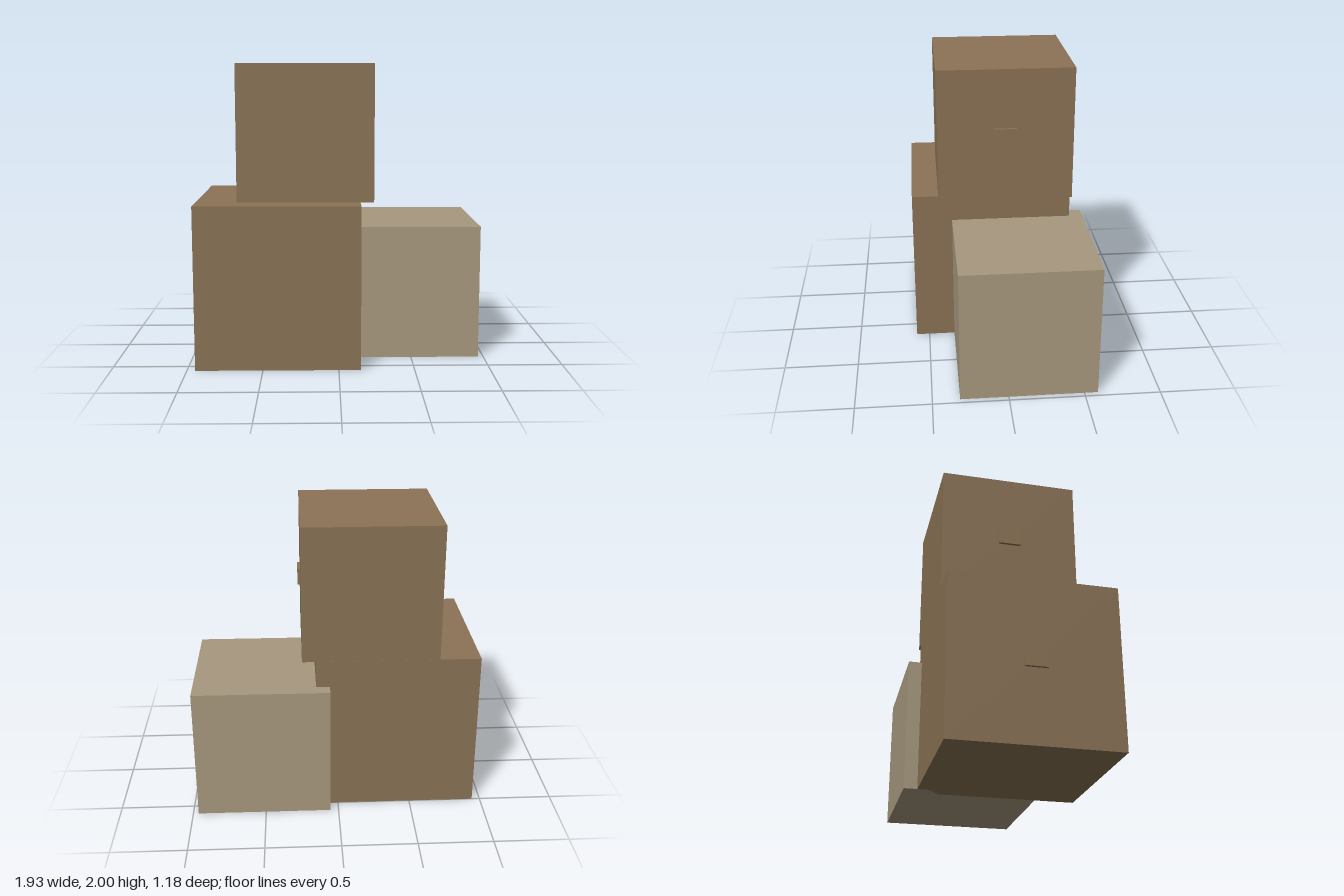
import * as THREE from 'three';

export function createModel() {
  const model = new THREE.Group();
  model.name = 'stackedBoxes';

  const brown = new THREE.MeshStandardMaterial({ color: 0x8b7355 });
  brown.name = 'brown cardboard';
  const tan = new THREE.MeshStandardMaterial({ color: 0xa8997f });
  tan.name = 'pale cardboard';

  function addBox(parent, name, material, size, position) {
    const mesh = new THREE.Mesh(new THREE.BoxGeometry(...size), material);
    mesh.name = name;
    mesh.position.set(...position);
    parent.add(mesh);
  }

  // A cubic carton standing on y = bottom, with optional grips on both x sides
  function addCarton(name, material, size, x, bottom, z, hasGrips) {
    const carton = new THREE.Group();
    carton.name = name;
    carton.position.set(x, bottom + size / 2, z);
    addBox(carton, 'cartonBody', material, [size, size, size], [0, 0, 0]);
    if (hasGrips) {
      for (const side of [-1, 1]) {
        addBox(carton, side > 0 ? 'leftGrip' : 'rightGrip', material,
          [0.036, 0.109, 0.145], [side * size / 2, 0, 0]);
      }
    }
    model.add(carton);
  }

  addCarton('largeCarton', brown, 1.091, -0.4, 0, 0.045, true);
  addCarton('topCarton', brown, 0.909, -0.218, 1.091, -0.045, true);
  addCarton('paleCarton', tan, 0.909, 0.509, 0, -0.136, false);

  return model;
}
